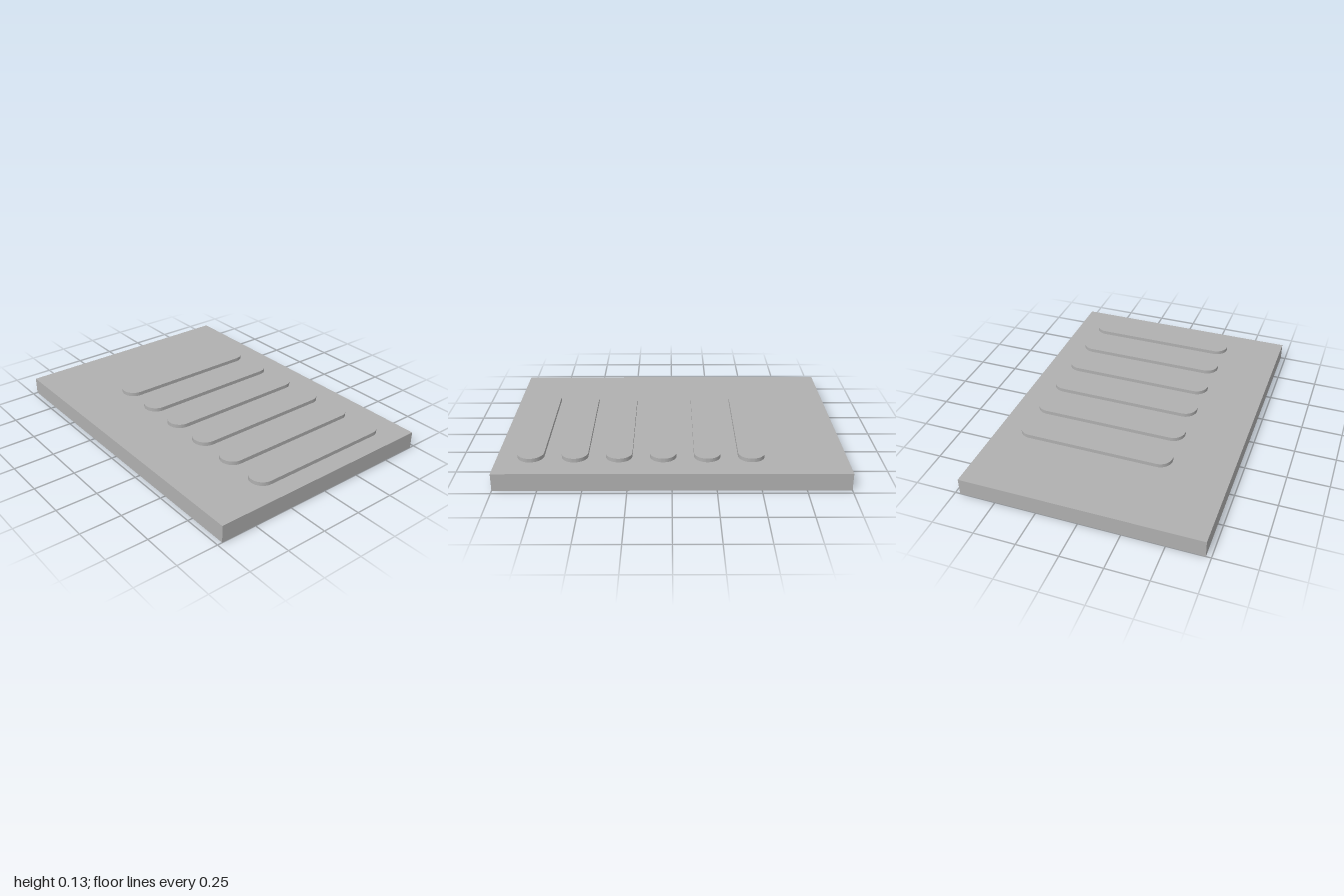
import * as THREE from 'three';
import { toCreasedNormals } from 'three/addons/utils/BufferGeometryUtils.js';

const BASE_HEIGHT = 0.105;
const RIB = { count: 6, radius: 0.076, length: 0.95, height: 0.023, firstX: -0.454, spacing: 0.252, z: -0.108 };

// Round-ended bar lying along z, standing on y = 0
function ribGeometry({ radius, length, height }) {
  const half = length / 2 - radius;
  const outline = new THREE.Shape();
  outline.moveTo(radius, -half);
  outline.lineTo(radius, half);
  outline.absarc(0, half, radius, 0, Math.PI, false);
  outline.lineTo(-radius, -half);
  outline.absarc(0, -half, radius, Math.PI, Math.PI * 2, false);
  const geometry = new THREE.ExtrudeGeometry(outline, { depth: height, bevelEnabled: false, curveSegments: 24 });
  geometry.rotateX(-Math.PI / 2);
  return toCreasedNormals(geometry, Math.PI / 6);
}

export function createModel() {
  const model = new THREE.Group();
  model.name = 'ribbedPlate';
  const gray = new THREE.MeshStandardMaterial({ color: 0xb0b0b0 });
  gray.name = 'gray';

  // Flat base slab
  const base = new THREE.Mesh(new THREE.BoxGeometry(2, BASE_HEIGHT, 1.44), gray);
  base.name = 'basePlate';
  base.position.y = BASE_HEIGHT / 2;
  model.add(base);

  // Row of raised ribs, set towards +x and the back
  const ribs = new THREE.Group();
  ribs.name = 'raisedRibs';
  const geometry = ribGeometry(RIB);
  for (let i = 0; i < RIB.count; i++) {
    const rib = new THREE.Mesh(geometry, gray);
    rib.name = `rib${i + 1}`;
    rib.position.set(RIB.firstX + i * RIB.spacing, BASE_HEIGHT, RIB.z);
    ribs.add(rib);
  }
  model.add(ribs);

  return model;
}
